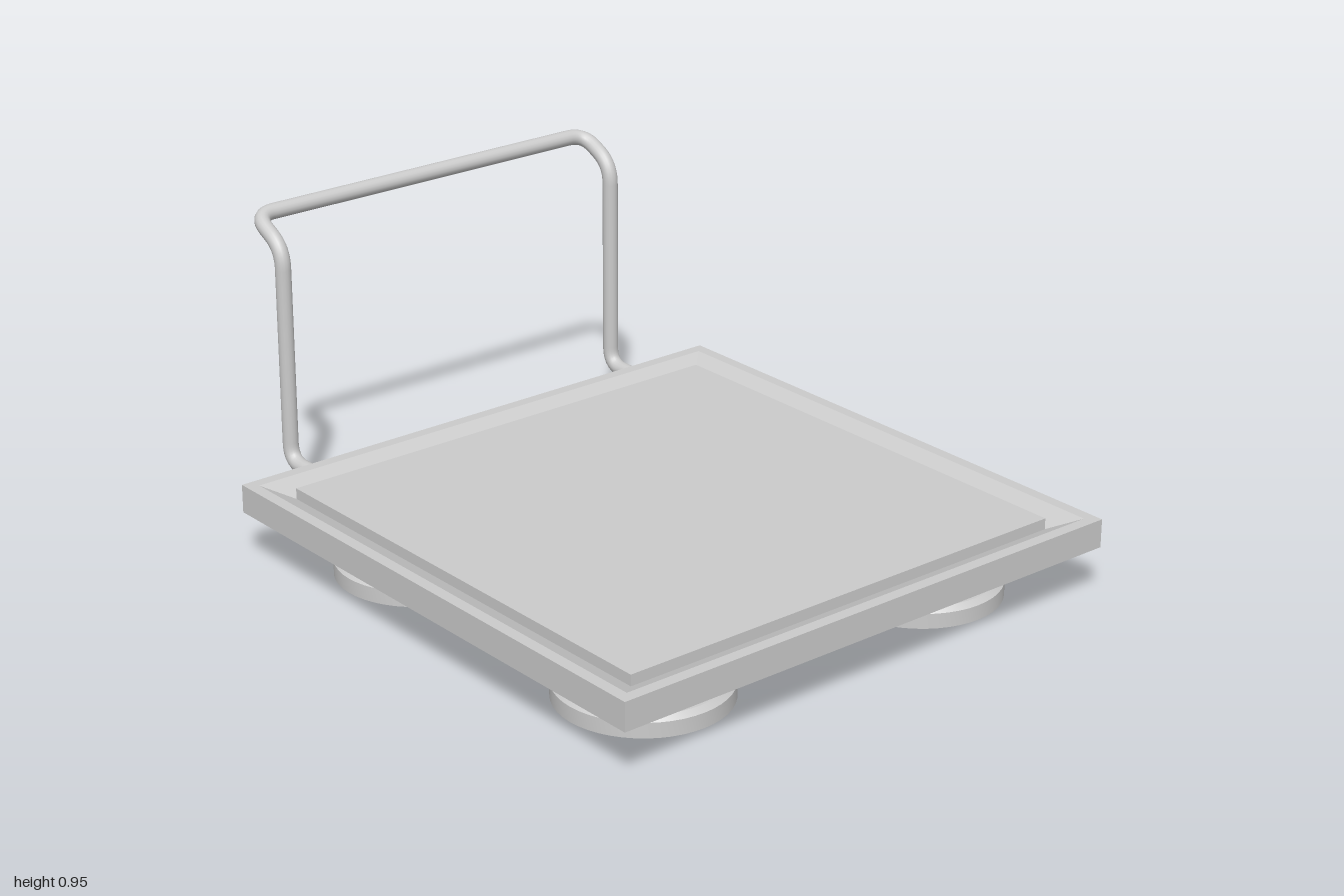
import * as THREE from 'three';
import { toCreasedNormals } from 'three/addons/utils/BufferGeometryUtils.js';

const grey = new THREE.MeshStandardMaterial({ color: 0xcccccc });
const flatGrey = new THREE.MeshStandardMaterial({ color: 0xcccccc, flatShading: true });
const HALF_X = 0.855, HALF_Z = 0.8575, MID_Z = 0.1425;

function part(name, geometry, material = grey) {
  const mesh = new THREE.Mesh(geometry, material);
  mesh.name = name;
  return mesh;
}

// Revolves [radius, y] pairs, listed from the lower centre to the upper centre
function revolve(profile, sides, start = 0) {
  return new THREE.LatheGeometry(profile.map(([r, y]) => new THREE.Vector2(r, y)), sides, start);
}

// Path through the given corners, each rounded off by its distance
function roundedPath(corners, rounding) {
  const path = new THREE.CurvePath();
  let from = corners[0];
  for (let i = 1; i < corners.length - 1; i++) {
    const c = corners[i];
    const toward = (p) => c.clone().add(p.clone().sub(c).setLength(rounding));
    const a = toward(corners[i - 1]), b = toward(corners[i + 1]);
    path.add(new THREE.LineCurve3(from, a));
    path.add(new THREE.QuadraticBezierCurve3(a, c, b));
    from = b;
  }
  path.add(new THREE.LineCurve3(from, corners[corners.length - 1]));
  return path;
}

export function createModel() {
  const model = new THREE.Group();
  model.name = 'platform';

  // Deck: chamfered underside, flat rim and a channel sloping in to the panel
  const k = Math.SQRT2;
  const deckGeometry = revolve([
    [0, 0.13], [0.953 * k, 0.13], [k, 0.155], [k, 0.24],
    [0.959 * k, 0.24], [0.871 * k, 0.203], [0, 0.203],
  ], 4, Math.PI / 4);
  deckGeometry.scale(HALF_X, 1, HALF_Z);
  const deck = part('deck', deckGeometry, flatGrey);
  deck.position.z = MID_Z;
  model.add(deck);

  // Raised panel inside the channel
  const panel = part('topPanel', new THREE.BoxGeometry(1.49, 0.035, 1.494), flatGrey);
  panel.position.set(0, 0.2185, MID_Z);
  model.add(panel);

  // Four round feet, hollow underneath
  const footGeometry = toCreasedNormals(revolve([
    [0, 0.05], [0.2, 0.05], [0.2, 0], [0.248, 0],
    [0.248, 0.045], [0.232, 0.06], [0, 0.06],
  ], 48), 0.5);
  for (const x of [-0.497, 0.497]) {
    for (const z of [-0.355, 0.64]) {
      const foot = part('foot', footGeometry);
      foot.position.set(x, 0, z);
      model.add(foot);
    }
  }

  // Push handle: one bent tube, mirrored left to right
  const side = [[0.2, -0.69], [0.2, -0.846], [0.857, -0.846], [0.922, -0.977]];
  const corners = [
    ...side.map(([y, z]) => new THREE.Vector3(-0.6, y, z)),
    ...side.map(([y, z]) => new THREE.Vector3(0.6, y, z)).reverse(),
  ];
  model.add(part('handle', new THREE.TubeGeometry(roundedPath(corners, 0.06), 260, 0.0235, 16)));

  return model;
}
